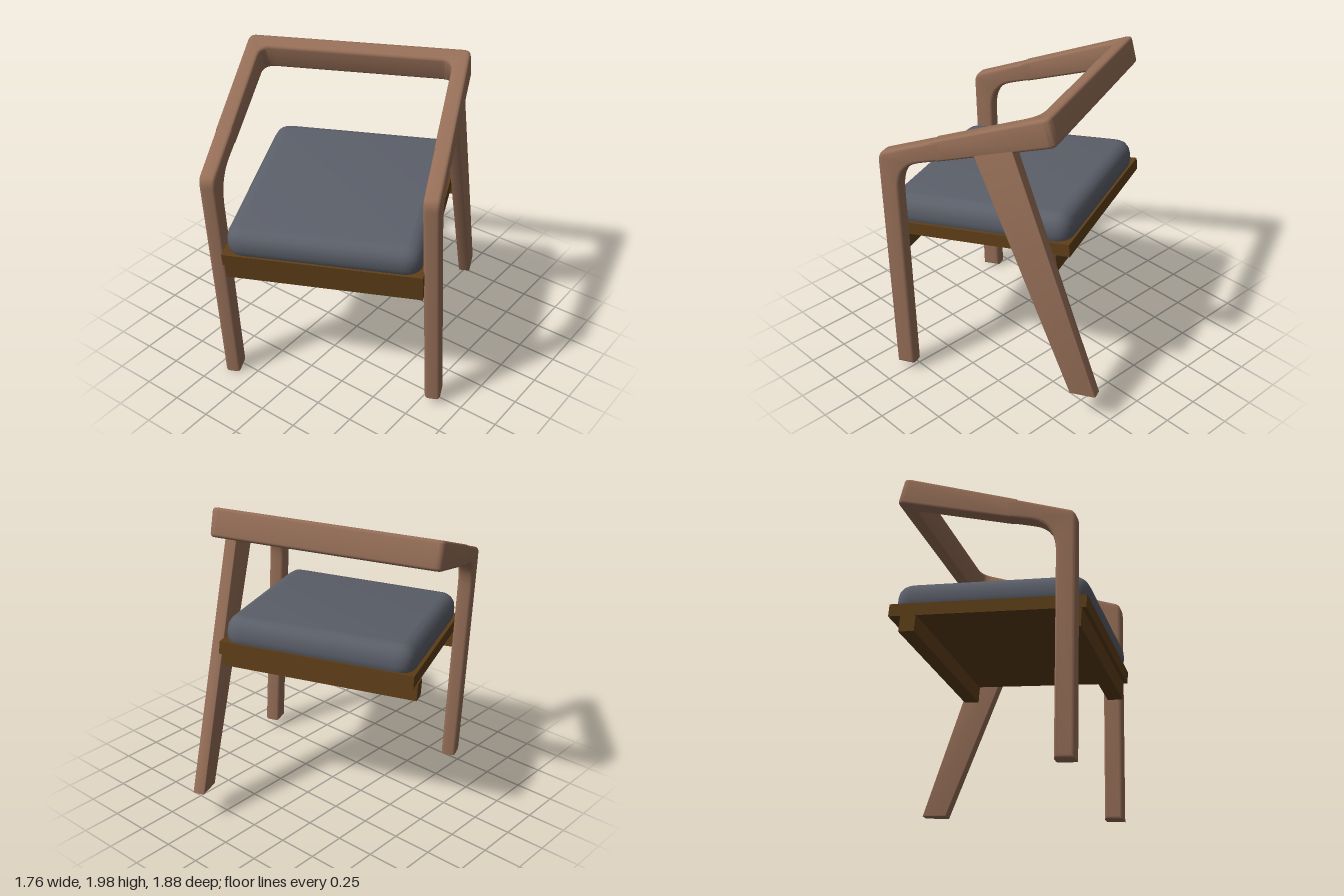
import * as THREE from 'three';
import { toCreasedNormals } from 'three/addons/utils/BufferGeometryUtils.js';

const wood = new THREE.MeshStandardMaterial({ color: 0x956e57 });
const darkWood = new THREE.MeshStandardMaterial({ color: 0x5e3e18 });
const fabric = new THREE.MeshStandardMaterial({ color: 0x5b5f69 });

// Slopes of the armrest: lower and upper edge height at depth z
const armBottom = (z) => 1.55 + 0.22 * (0.285 - z);
const armTop = (z) => 1.6 + 0.284 * (0.53 - z);

// Extrude with rounded edges; total thickness is `depth`, centred on its axis
function slab(shape, depth, bevel, size = bevel) {
  const g = new THREE.ExtrudeGeometry(shape, {
    depth: depth - 2 * bevel, bevelThickness: bevel, bevelSize: size, bevelOffset: -size,
    bevelSegments: 4, curveSegments: 8,
  });
  g.translate(0, 0, bevel - depth / 2);
  return g;
}

function addMesh(parent, name, geometry, material) {
  const mesh = new THREE.Mesh(geometry, material);
  mesh.name = name;
  parent.add(mesh);
  return mesh;
}

// Side profile drawn in (z, y), extruded along x
const sidePart = (shape, width, bevel) =>
  toCreasedNormals(slab(shape, width, bevel).rotateY(-Math.PI / 2), 0.7);

function frontLegGeometry() {
  const s = new THREE.Shape();
  s.moveTo(0.505, 0.088);
  s.lineTo(0.625, 0.088);
  s.lineTo(0.545, 1.53);
  s.quadraticCurveTo(0.542, 1.597, 0.5, armTop(0.5));
  s.lineTo(0.1, armTop(0.1));
  s.lineTo(0.1, armBottom(0.1));
  s.lineTo(0.27, armBottom(0.27));
  s.quadraticCurveTo(0.425, 1.52, 0.432, 1.33);
  s.closePath();
  return sidePart(s, 0.1, 0.022);
}

function backLegGeometry() {
  const s = new THREE.Shape();
  s.moveTo(-0.754, 0.1);
  s.lineTo(-0.587, 0.1);
  s.lineTo(-0.09, 1.68);
  s.lineTo(-0.338, 1.74);
  s.closePath();
  return sidePart(s, 0.075, 0.006);
}

// U-shaped plan of the backrest and arms, then sheared to the arm slopes
function backrestGeometry() {
  const o = 0.71, i = 0.61, front = 0.16, back = -0.6, inner = -0.5, r = 0.05, f = 0.075;
  const s = new THREE.Shape(); // drawn in (x, -z)
  s.moveTo(-o, -front);
  s.lineTo(-i, -front);
  s.lineTo(-i, -inner - f);
  s.quadraticCurveTo(-i, -inner, -i + f, -inner);
  s.lineTo(i - f, -inner);
  s.quadraticCurveTo(i, -inner, i, -inner - f);
  s.lineTo(i, -front);
  s.lineTo(o, -front);
  s.lineTo(o, -back - r);
  s.quadraticCurveTo(o, -back, o - r, -back);
  s.lineTo(-o + r, -back);
  s.quadraticCurveTo(-o, -back, -o, -back - r);
  const h = 0.19;
  const g = slab(s, h, 0.022).rotateX(-Math.PI / 2);
  const p = g.attributes.position;
  for (let k = 0; k < p.count; k++) {
    const t = p.getY(k) / h + 0.5, z = p.getZ(k);
    p.setY(k, THREE.MathUtils.lerp(armBottom(z), armTop(z), t));
    p.setZ(k, z + (t - 0.5) * 0.03); // slight rake of the back face
  }
  return toCreasedNormals(g, 0.7);
}

function cushionGeometry() {
  const x = 0.6, z = 0.605, r = 0.12;
  const s = new THREE.Shape();
  s.moveTo(-x + r, -z);
  s.lineTo(x - r, -z);
  s.quadraticCurveTo(x, -z, x, -z + r);
  s.lineTo(x, z - r);
  s.quadraticCurveTo(x, z, x - r, z);
  s.lineTo(-x + r, z);
  s.quadraticCurveTo(-x, z, -x, z - r);
  s.lineTo(-x, -z + r);
  s.quadraticCurveTo(-x, -z, -x + r, -z);
  return toCreasedNormals(slab(s, 0.215, 0.09, 0.085).rotateX(-Math.PI / 2), 0.7);
}

export function createModel() {
  const model = new THREE.Group();
  model.name = 'armchair';

  // The chair stands turned and slightly tipped
  const chair = new THREE.Group();
  chair.name = 'chair';
  const ex = new THREE.Vector3(0.92, 0.033, -0.391).normalize();
  const ez = new THREE.Vector3(0.392, -0.098, 0.915).normalize();
  const ey = new THREE.Vector3().crossVectors(ez, ex).normalize();
  ez.crossVectors(ex, ey);
  chair.quaternion.setFromRotationMatrix(new THREE.Matrix4().makeBasis(ex, ey, ez));
  model.add(chair);

  // Wooden frame
  const cx = -0.02;
  const legGeometry = frontLegGeometry();
  for (const [name, side] of [['leftFrontLeg', 1], ['rightFrontLeg', -1]])
    addMesh(chair, name, legGeometry, wood).position.x = cx + side * 0.66;
  addMesh(chair, 'backrestAndArms', backrestGeometry(), wood).position.x = cx;
  addMesh(chair, 'backLeg', backLegGeometry(), wood).position.x = 0.652;

  // Seat board, rails beneath it and cushion
  const box = (name, w, h, d, x, y, z) =>
    addMesh(chair, name, new THREE.BoxGeometry(w, h, d), darkWood).position.set(x, y, z);
  box('seatBoard', 1.23, 0.08, 1.226, -0.016, 1.055, 0);
  box('frontRail', 1.22, 0.12, 0.1, -0.02, 0.958, 0.537);
  box('backRail', 1.25, 0.11, 0.1, -0.015, 0.963, -0.48);
  addMesh(chair, 'cushion', cushionGeometry(), fabric).position.set(-0.014, 1.148, 0);

  return model;
}
